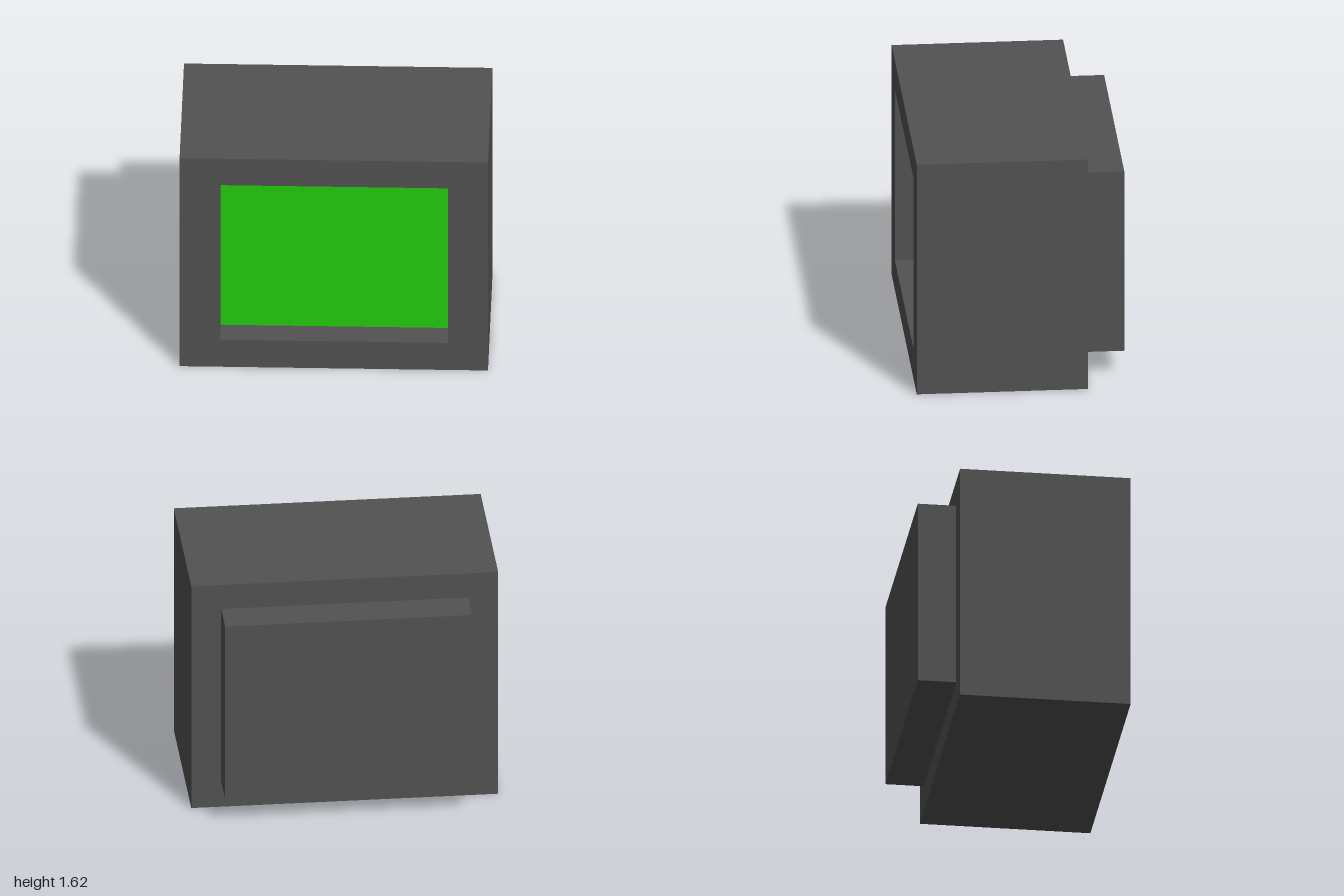
import * as THREE from 'three';

const FRONT = 4, BACK = 5; // BoxGeometry face order: +x -x +y -y +z -z

// Box without the listed faces; inward = true turns the walls to face inside
function openBox(w, h, d, skip, inward = false) {
  const geo = new THREE.BoxGeometry(w, h, d);
  const all = Array.from(geo.index.array);
  let idx = all.filter((_, i) => !skip.includes(Math.floor(i / 6)));
  if (inward) {
    idx = idx.reverse();
    const n = geo.attributes.normal;
    for (let i = 0; i < n.count; i++) n.setXYZ(i, -n.getX(i), -n.getY(i), -n.getZ(i));
  }
  geo.setIndex(idx);
  geo.clearGroups();
  return geo;
}

function rect(path, w, y0, y1) {
  path.moveTo(-w / 2, y0);
  path.lineTo(w / 2, y0);
  path.lineTo(w / 2, y1);
  path.lineTo(-w / 2, y1);
  path.closePath();
  return path;
}

export function createModel() {
  const casing = new THREE.MeshStandardMaterial({ color: 0x525252 });
  casing.name = 'casingGrey';
  const glow = new THREE.MeshStandardMaterial({ color: 0x24cc0e });
  glow.name = 'screenGreen';

  const model = new THREE.Group();
  model.name = 'monitor';
  const add = (name, geo, mat, y, z) => {
    const mesh = new THREE.Mesh(geo, mat);
    mesh.name = name;
    mesh.position.set(0, y, z);
    model.add(mesh);
  };

  const H = 1.615, zFront = 0.683, zStep = -0.432, zBack = -0.683;
  const sw = 1.48, s0 = 0.21, s1 = 1.41, recess = 0.176;

  // Main casing, open at the front where the bezel sits
  add('casing', openBox(2, H, zFront - zStep, [FRONT]), casing, H / 2, (zFront + zStep) / 2);

  // Front bezel with the screen opening
  const bezel = rect(new THREE.Shape(), 2, 0, H);
  bezel.holes.push(rect(new THREE.Path(), sw, s0, s1));
  add('bezel', new THREE.ShapeGeometry(bezel), casing, 0, zFront);

  // Recess walls and the screen at their far end
  add('screenRecess', openBox(sw, s1 - s0, recess, [FRONT, BACK], true), casing,
    (s0 + s1) / 2, zFront - recess / 2);
  add('screen', new THREE.PlaneGeometry(sw, s1 - s0), glow, (s0 + s1) / 2, zFront - recess);

  // Smaller housing on the back
  add('rearHousing', openBox(1.61, 1.262, zStep - zBack, [FRONT]), casing, 0.809, (zStep + zBack) / 2);

  return model;
}
